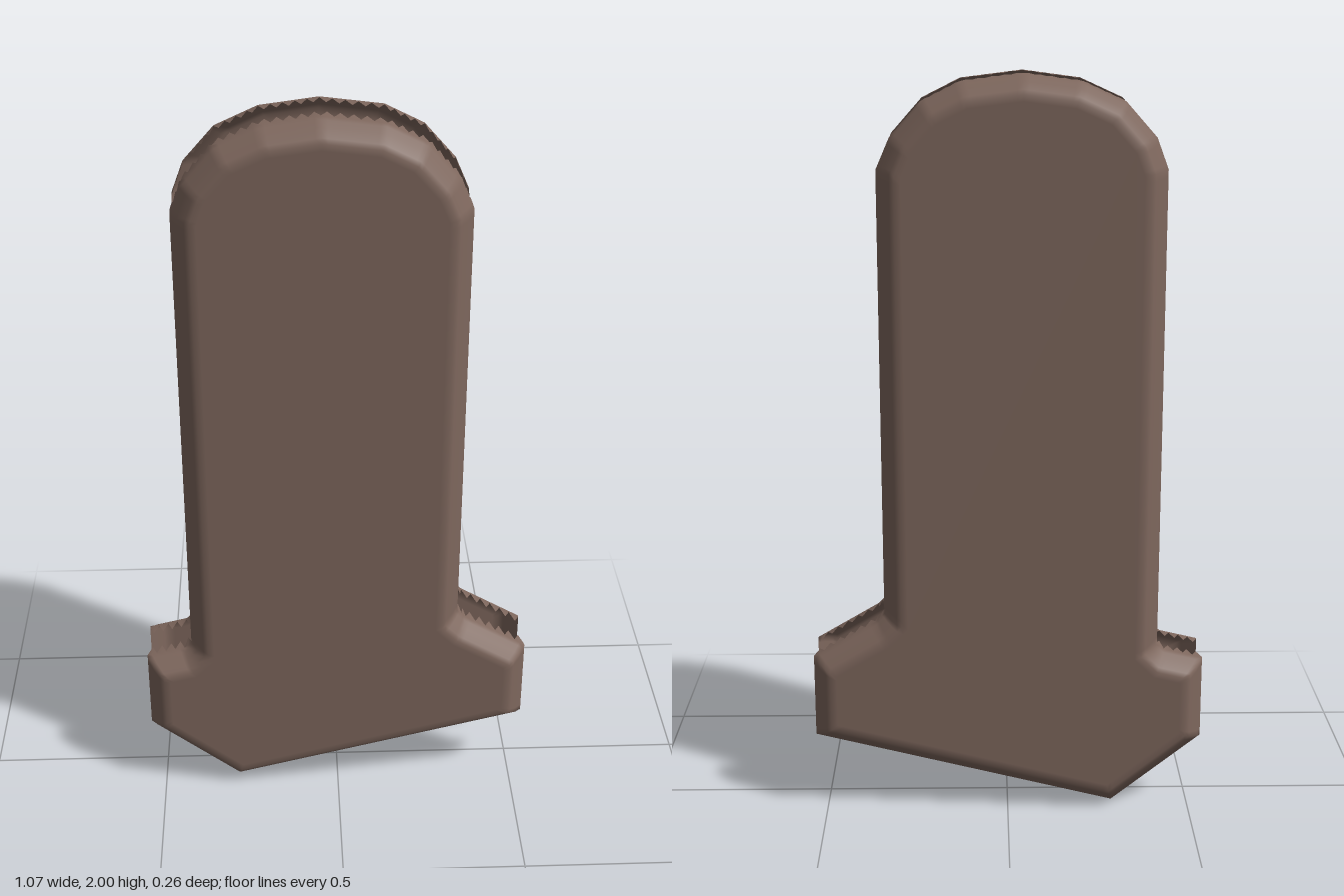
import * as THREE from 'three';

const HALF = 0.13; // half thickness

// Outline corners, counter-clockwise seen from the front
const OUTLINE = [
  [-0.29, 0], [0.53, 0.205], [0.53, 0.435], [0.36, 0.535], [0.335, 0.56],
  [0.335, 1.76], [0.3, 1.84], [0.22, 1.93], [0.12, 1.98], [-0.04, 2], [-0.19, 1.98],
  [-0.3, 1.93], [-0.38, 1.84], [-0.41, 1.76],
  [-0.41, 0.47], [-0.43, 0.45], [-0.535, 0.425], [-0.535, 0.195],
].map(([x, y]) => new THREE.Vector2(x, y));

// Rounded edge as [inset from the outline, z]; the open rim follows below it
const PROFILE = [[0.065, 0.13], [0.048, 0.13], [0.036, 0.122], [0.018, 0.1], [0.006, 0.08], [0, 0.072]];

// Mitred inset of the outline
function inset(d) {
  const n = OUTLINE.length;
  return OUTLINE.map((p, i) => {
    const a = p.clone().sub(OUTLINE[(i + n - 1) % n]).normalize();
    const b = OUTLINE[(i + 1) % n].clone().sub(p).normalize();
    const na = new THREE.Vector2(-a.y, a.x), nb = new THREE.Vector2(-b.y, b.x);
    return p.clone().add(na.clone().add(nb).multiplyScalar(d / (1 + na.dot(nb))));
  });
}

// Points along every edge; rimZ is ragged on sloping edges, straight on upright ones
function ring(d) {
  const corners = inset(d), points = [];
  OUTLINE.forEach((p, i) => {
    const k = (i + 1) % OUTLINE.length, q = OUTLINE[k];
    const upright = Math.abs(q.x - p.x) < 0.001;
    const steps = 2 * Math.ceil(p.distanceTo(q) / 0.035);
    for (let j = 0; j < steps; j++) {
      const v = corners[i].clone().lerp(corners[k], j / steps);
      const rimZ = upright ? (Math.abs(p.x) > 0.5 ? 0.065 : 0.04) : (j % 2 ? 0.034 : 0.066);
      points.push({ x: v.x, y: v.y, rimZ });
    }
  });
  return points;
}

function flip(geometry) {
  const index = geometry.index.array;
  for (let i = 0; i < index.length; i += 3) [index[i], index[i + 1]] = [index[i + 1], index[i]];
}

// Rounded wall running from the flat face to the open rim
function wallGeometry(side) {
  const positions = [], index = [];
  const rows = [...PROFILE, [0, null]];
  let count = 0;
  for (const [d, z] of rows) {
    const points = ring(d);
    count = points.length;
    for (const p of points) positions.push(p.x, p.y, side * (z ?? p.rimZ));
  }
  for (let r = 0; r < rows.length - 1; r++) {
    for (let i = 0; i < count; i++) {
      const j = (i + 1) % count, a = r * count, b = a + count;
      index.push(a + i, b + i, b + j, a + i, b + j, a + j);
    }
  }
  const geometry = new THREE.BufferGeometry();
  geometry.setAttribute('position', new THREE.Float32BufferAttribute(positions, 3));
  geometry.setIndex(index);
  if (side < 0) flip(geometry);
  geometry.computeVertexNormals();
  return geometry;
}

function faceGeometry(side) {
  const geometry = new THREE.ShapeGeometry(new THREE.Shape(inset(PROFILE[0][0])));
  geometry.translate(0, 0, side * HALF);
  if (side < 0) flip(geometry);
  geometry.computeVertexNormals();
  return geometry;
}

export function createModel() {
  const model = new THREE.Group();
  model.name = 'splitSlab';
  const brown = new THREE.MeshStandardMaterial({ color: 0x7e675d, side: THREE.DoubleSide });
  brown.name = 'dull brown';

  // Two open half shells with a gap between them
  for (const [name, side] of [['front', 1], ['back', -1]]) {
    const shell = new THREE.Group();
    shell.name = name + 'Shell';
    const face = new THREE.Mesh(faceGeometry(side), brown);
    face.name = name + 'Face';
    const wall = new THREE.Mesh(wallGeometry(side), brown);
    wall.name = name + 'RoundedEdge';
    shell.add(face, wall);
    model.add(shell);
  }
  return model;
}
